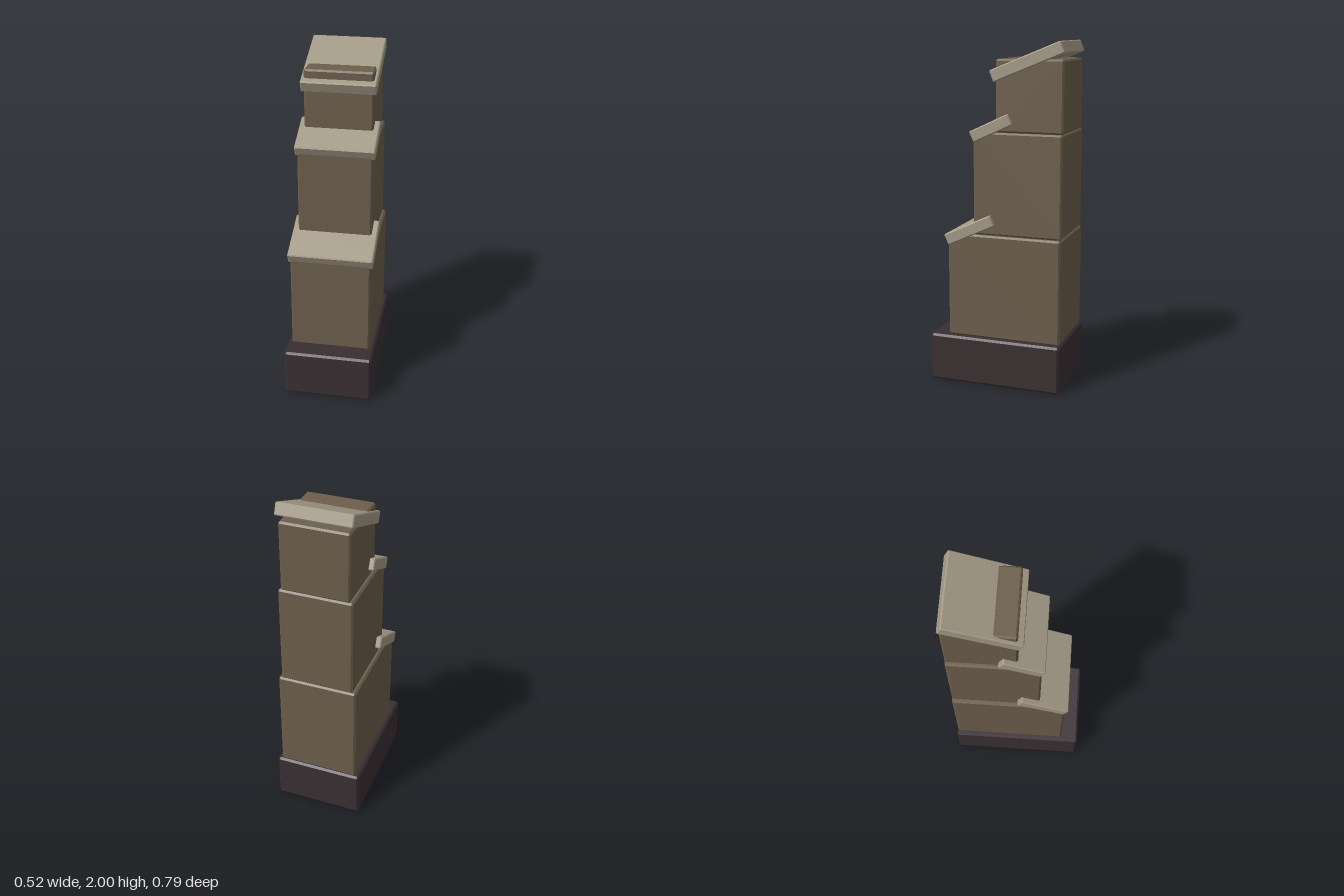
import * as THREE from 'three';
import { ConvexGeometry } from 'three/addons/geometries/ConvexGeometry.js';

// Box with flat chamfers on every edge, centred on the origin
function chamferBox(w, h, d, c) {
  const points = [];
  for (const sx of [-1, 1]) for (const sy of [-1, 1]) for (const sz of [-1, 1]) {
    const x = w / 2, y = h / 2, z = d / 2;
    points.push(
      new THREE.Vector3(sx * x, sy * (y - c), sz * (z - c)),
      new THREE.Vector3(sx * (x - c), sy * y, sz * (z - c)),
      new THREE.Vector3(sx * (x - c), sy * (y - c), sz * z));
  }
  return new ConvexGeometry(points);
}

function material(name, color) {
  const m = new THREE.MeshStandardMaterial({ color });
  m.name = name;
  return m;
}

export function createModel() {
  const group = new THREE.Group();
  group.name = 'steppedTower';
  const plinthStone = material('dark plinth', 0x3a2f32);
  const wall = material('brown wall', 0x6c5e4b);
  const slab = material('pale slab', 0xa39986);

  // Upright block given by its width and its y and z ranges
  function block(name, mat, w, y0, y1, z0, z1, c) {
    const mesh = new THREE.Mesh(chamferBox(w, y1 - y0, z1 - z0, c), mat);
    mesh.position.set(0, (y0 + y1) / 2, (z0 + z1) / 2);
    mesh.name = name;
    group.add(mesh);
  }

  // Roof slab that slopes down towards the front
  function roof(name, w, thick, length, y, z, degrees) {
    const mesh = new THREE.Mesh(chamferBox(w, thick, length, 0.006), slab);
    mesh.position.set(0, y, z);
    mesh.rotation.x = THREE.MathUtils.degToRad(degrees);
    mesh.name = name;
    group.add(mesh);
  }

  block('plinth', plinthStone, 0.52, 0, 0.282, -0.394, 0.396, 0.012);

  // Three tiers with a shared back wall, stepping back at the front
  block('lowerTier', wall, 0.468, 0.284, 0.899, -0.388, 0.287, 0.01);
  block('middleTier', wall, 0.43, 0.899, 1.49, -0.388, 0.135, 0.01);
  block('upperTier', wall, 0.396, 1.49, 1.897, -0.388, 0.006, 0.01);

  // Sloping slabs, one on the front of each tier
  roof('lowerSlab', 0.494, 0.067, 0.309, 0.925, 0.155, 25);
  roof('middleSlab', 0.456, 0.067, 0.252, 1.515, 0.028, 25);
  roof('topSlab', 0.428, 0.07, 0.441, 1.884, -0.178, 22);

  return group;
}
